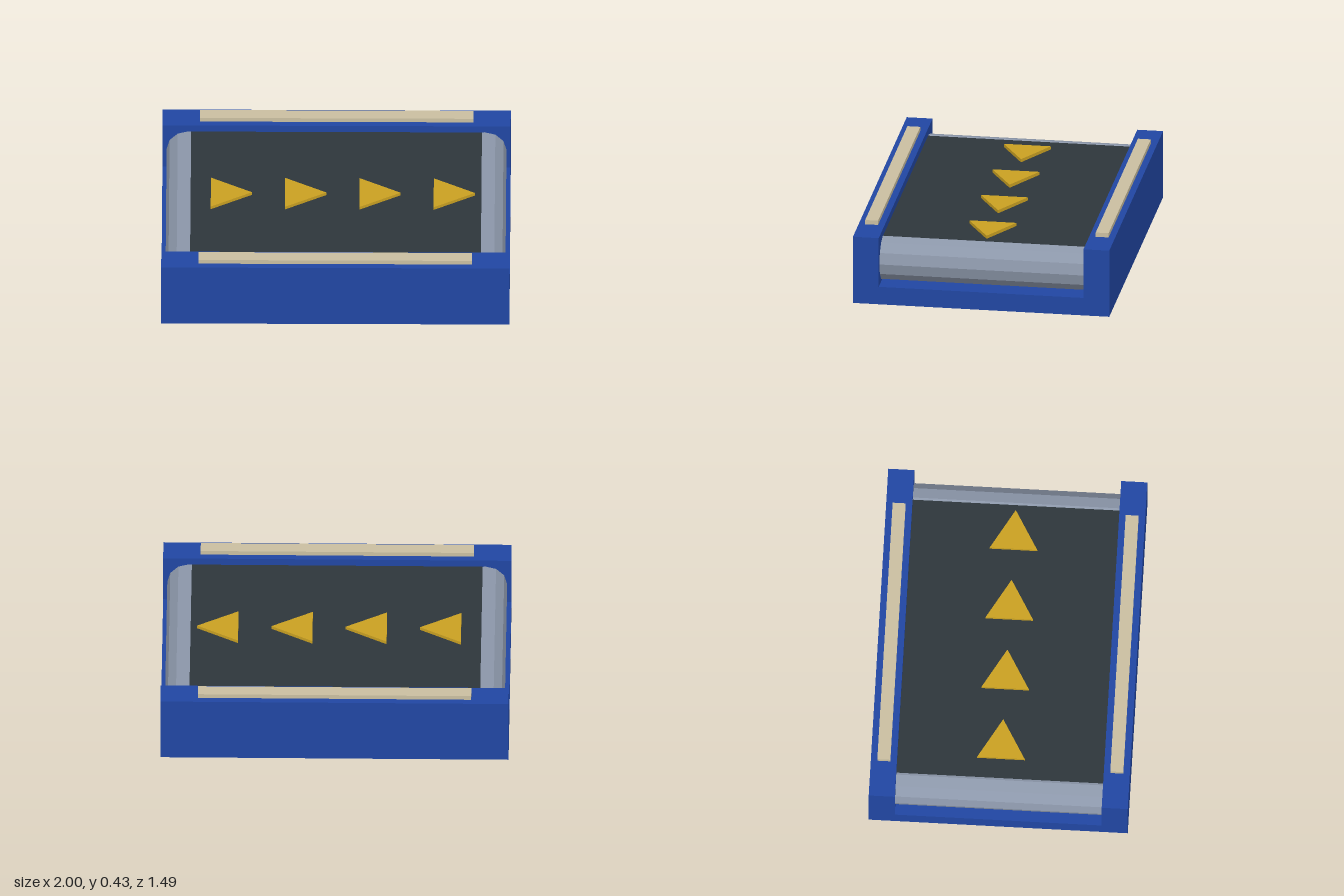
import * as THREE from 'three';

const material = (name, color) =>
  new THREE.MeshStandardMaterial({ name, color, flatShading: true });

export function createModel() {
  const blue = material('frame blue', 0x2146a2);
  const steel = material('roller steel', 0x8c97aa);
  const dark = material('belt dark grey', 0x2d363b);
  const yellow = material('arrow yellow', 0xc9a022);
  const tan = material('rail tan', 0xc9bea0);

  const model = new THREE.Group();
  model.name = 'conveyor';

  function add(name, geometry, mat, x, y, z) {
    const mesh = new THREE.Mesh(geometry, mat);
    mesh.name = name;
    mesh.position.set(x, y, z);
    model.add(mesh);
    return mesh;
  }

  // Frame: U-shaped section, open at both ends, run along x
  const section = new THREE.Shape([
    [-0.745, 0], [0.745, 0], [0.745, 0.405], [0.595, 0.405],
    [0.595, 0.107], [-0.595, 0.107], [-0.595, 0.405], [-0.745, 0.405],
  ].map(([x, y]) => new THREE.Vector2(x, y)));
  const frame = new THREE.ExtrudeGeometry(section, { depth: 2, bevelEnabled: false });
  frame.translate(0, 0, -1).rotateY(Math.PI / 2);
  add('frame', frame, blue, 0, 0, 0);

  // Twelve-sided end rollers
  const roller = new THREE.CylinderGeometry(0.128, 0.128, 1.19, 12).rotateX(Math.PI / 2);
  for (const side of [-1, 1]) {
    add(side > 0 ? 'leftRoller' : 'rightRoller', roller, steel, side * 0.848, 0.235, 0);
  }

  // Belt between the rollers
  add('belt', new THREE.BoxGeometry(1.67, 0.04, 1.19), dark, 0, 0.341, 0);

  // Direction arrows pointing to +x
  const arrow = new THREE.CylinderGeometry(0.158, 0.158, 0.025, 3).rotateY(Math.PI / 2);
  for (let i = 0; i < 4; i++) {
    add('arrow' + (i + 1), arrow, yellow, -0.64 + i * 0.4267, 0.3675, 0);
  }

  // Guard strips on top of the side walls
  const strip = new THREE.BoxGeometry(1.57, 0.03, 0.075);
  for (const side of [-1, 1]) {
    add(side > 0 ? 'frontStrip' : 'backStrip', strip, tan, 0, 0.416, side * 0.67);
  }

  return model;
}
